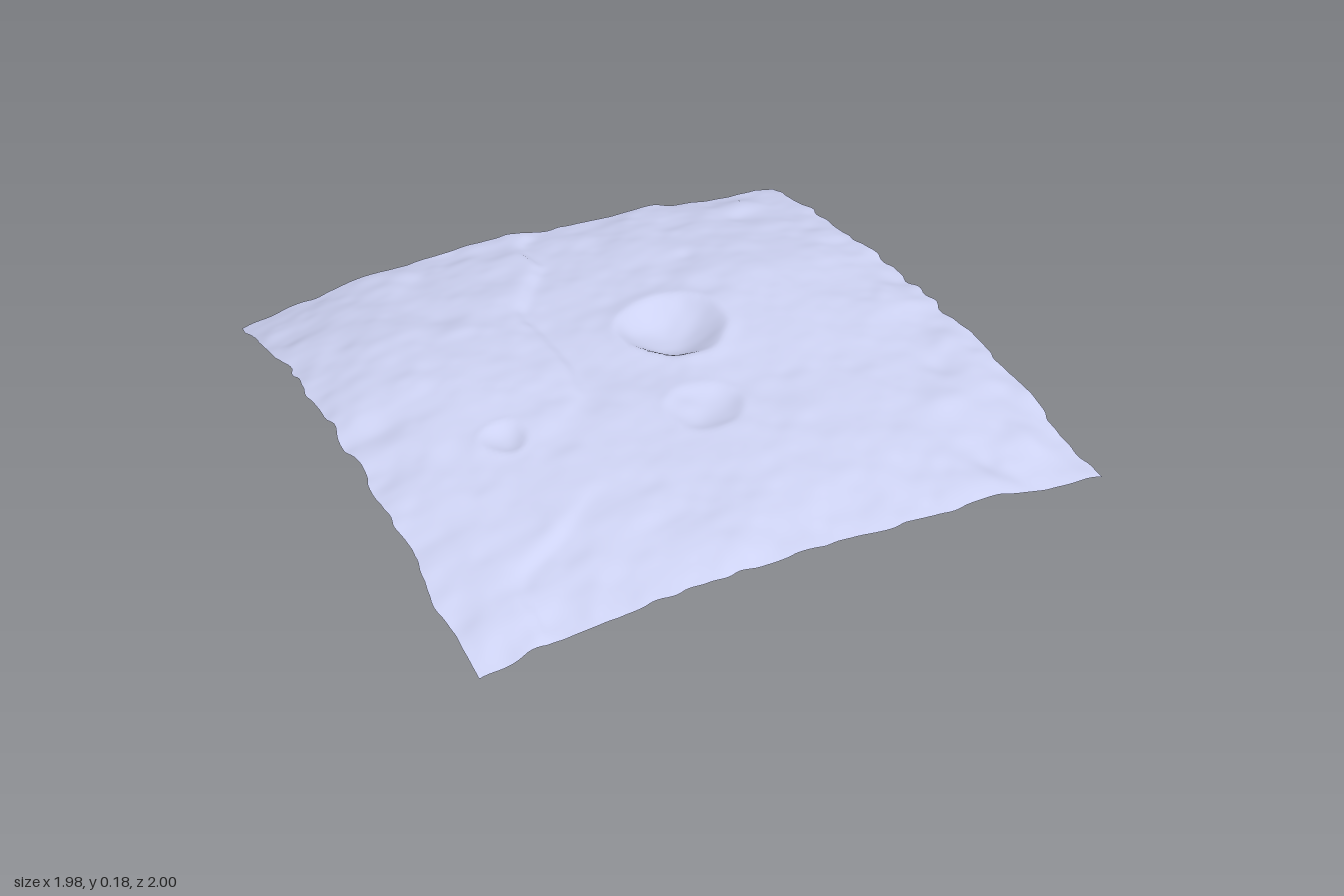
import * as THREE from 'three';

const SEG = 140;

// Seeded value noise, roughly -1..1
function hash(i, j) {
  let h = Math.imul(i + 101, 374761393) ^ Math.imul(j + 57, 668265263);
  h = Math.imul(h ^ (h >>> 13), 1274126177);
  return (((h ^ (h >>> 16)) >>> 0) / 4294967295) * 2 - 1;
}
function noise(x, y) {
  const i = Math.floor(x), j = Math.floor(y);
  const s = t => t * t * t * (t * (t * 6 - 15) + 10);
  const a = s(x - i), b = s(y - j), mix = THREE.MathUtils.lerp;
  return mix(mix(hash(i, j), hash(i + 1, j), a), mix(hash(i, j + 1), hash(i + 1, j + 1), a), b);
}

// Gentle mounds and hollows: x, z, radius, height
const swells = [
  [-0.58, -0.3, 0.36, 0.034], [0.45, -0.15, 0.33, 0.026],
  [-0.33, -0.5, 0.06, -0.012], [-0.74, -0.14, 0.06, -0.01],
  [0.35, 0.9, 0.08, 0.012], [0.6, 0.8, 0.06, 0.012], [0.45, 0.82, 0.05, -0.01],
  [0.62, 0.47, 0.05, -0.014], [0.72, 0.38, 0.05, 0.012], [0.5, 0.6, 0.06, 0.008],
  [0.8, -0.58, 0.06, 0.01], [0.72, -0.5, 0.05, -0.008], [0.41, -0.36, 0.03, -0.006],
  [-0.3, 0.74, 0.05, 0.01], [-0.06, 0.24, 0.04, 0.009]
];

// Craters: x, z, radius, depth
const craters = [
  [0.13, -0.075, 0.155, 0.05], [-0.03, 0.27, 0.11, 0.02], [-0.52, 0.08, 0.065, 0.014]
];

// Scarps: smooth lines across the patch, side of the high ground, strength
const scarps = [
  {
    points: [[0.24, -1], [0.16, -0.82], [0.08, -0.72], [0.06, -0.6], [-0.15, -0.4],
      [-0.19, -0.15], [-0.25, 0.04], [-0.4, 0.12]],
    highSide: 1, strength: 1
  },
  {
    points: [[-0.88, 0.85], [-0.82, 0.66], [-0.76, 0.49], [-0.6, 0.45], [-0.43, 0.34]],
    highSide: -1, strength: 0.85
  }
].map(s => ({
  ...s,
  line: new THREE.CatmullRomCurve3(s.points.map(([x, z]) => new THREE.Vector3(x, 0, z))).getPoints(28)
}));

function scarpHeight({ line, highSide, strength }, x, z) {
  let best = Infinity, side = 1, along = 0;
  for (let i = 0; i < line.length - 1; i++) {
    const a = line[i], dx = line[i + 1].x - a.x, dz = line[i + 1].z - a.z;
    const t = THREE.MathUtils.clamp(((x - a.x) * dx + (z - a.z) * dz) / (dx * dx + dz * dz), 0, 1);
    const d = Math.hypot(x - a.x - t * dx, z - a.z - t * dz);
    if (d < best) {
      best = d;
      side = Math.sign(dx * (z - a.z) - dz * (x - a.x)) * highSide;
      along = (i + t) / (line.length - 1);
    }
  }
  const fade = Math.min(1, (1 - along) * 4, 0.5 + along * 1.5);
  const step = Math.tanh(best / 0.02);
  return strength * side * step * fade * (side > 0 ? 0.008 : 0.014) * Math.exp(-best / 0.13);
}

function height(u, v, x, z) {
  // Domed sheet with drooping corners, lower along the front
  const droop = t => 0.03 * t * t + 0.03 * t ** 4;
  let y = 0.15 - droop(u) - droop(v) - 0.009 * Math.max(v, 0) ** 2;
  y += 0.016 * u * u * (1 - v * v);
  y += u * u * v * v * (-0.015 + 0.015 * u - 0.005 * u * v);
  for (const [cx, cz, r, h] of swells) {
    y += h * Math.exp(-((x - cx) ** 2 + (z - cz) ** 2) / (r * r));
  }
  // Slightly irregular bowls with a low raised rim
  const wx = x + 0.012 * noise(x * 11, z * 11 + 40), wz = z + 0.012 * noise(x * 11 + 30, z * 11);
  for (const [cx, cz, r, depth] of craters) {
    const q = Math.hypot(wx - cx, wz - cz) / r;
    if (q < 1) y -= depth * (1 - q * q) ** 1.3;
    y += depth * 0.1 * Math.exp(-(((q - 1) / 0.2) ** 2));
  }
  for (const scarp of scarps) y += scarpHeight(scarp, wx, wz);
  // Surface roughness, stronger toward the border
  const rough = 0.8 + 0.6 * Math.max(Math.abs(u), Math.abs(v)) ** 4;
  return y + rough * (0.005 * noise(x * 6, z * 6) + 0.004 * noise(x * 12 + 9, z * 12)
    + 0.0012 * noise(x * 25, z * 25 + 5));
}

export function createModel() {
  const group = new THREE.Group();
  const geometry = new THREE.PlaneGeometry(2, 2, SEG, SEG).rotateX(-Math.PI / 2);
  const p = geometry.attributes.position;
  for (let i = 0; i < p.count; i++) {
    const u = p.getX(i), v = p.getZ(i);
    // Ragged border, calm at the corners
    const calm = t => 1 - t ** 8;
    const ju = 0.016 * u ** 7 * calm(v) * (noise(v * 8, 3 + u) + 0.6 * noise(v * 19, 7 + u));
    const jv = 0.01 * v ** 7 * calm(u) * (noise(u * 8, 13 + v) + 0.6 * noise(u * 19, 17 + v));
    // Skewed square footprint
    const a = u + ju, b = v + jv;
    const x = 0.8375 * a - 0.152 * b, z = 0.167 * a + 0.832 * b;
    p.setXYZ(i, x, height(u, v, x, z), z);
  }
  geometry.computeBoundingBox();
  geometry.translate(0, -geometry.boundingBox.min.y, 0);
  geometry.computeVertexNormals();

  const terrain = new THREE.Mesh(geometry, new THREE.MeshStandardMaterial({
    color: 0xcdd2f2, side: THREE.DoubleSide
  }));
  terrain.name = 'crateredTerrain';
  group.add(terrain);
  return group;
}
